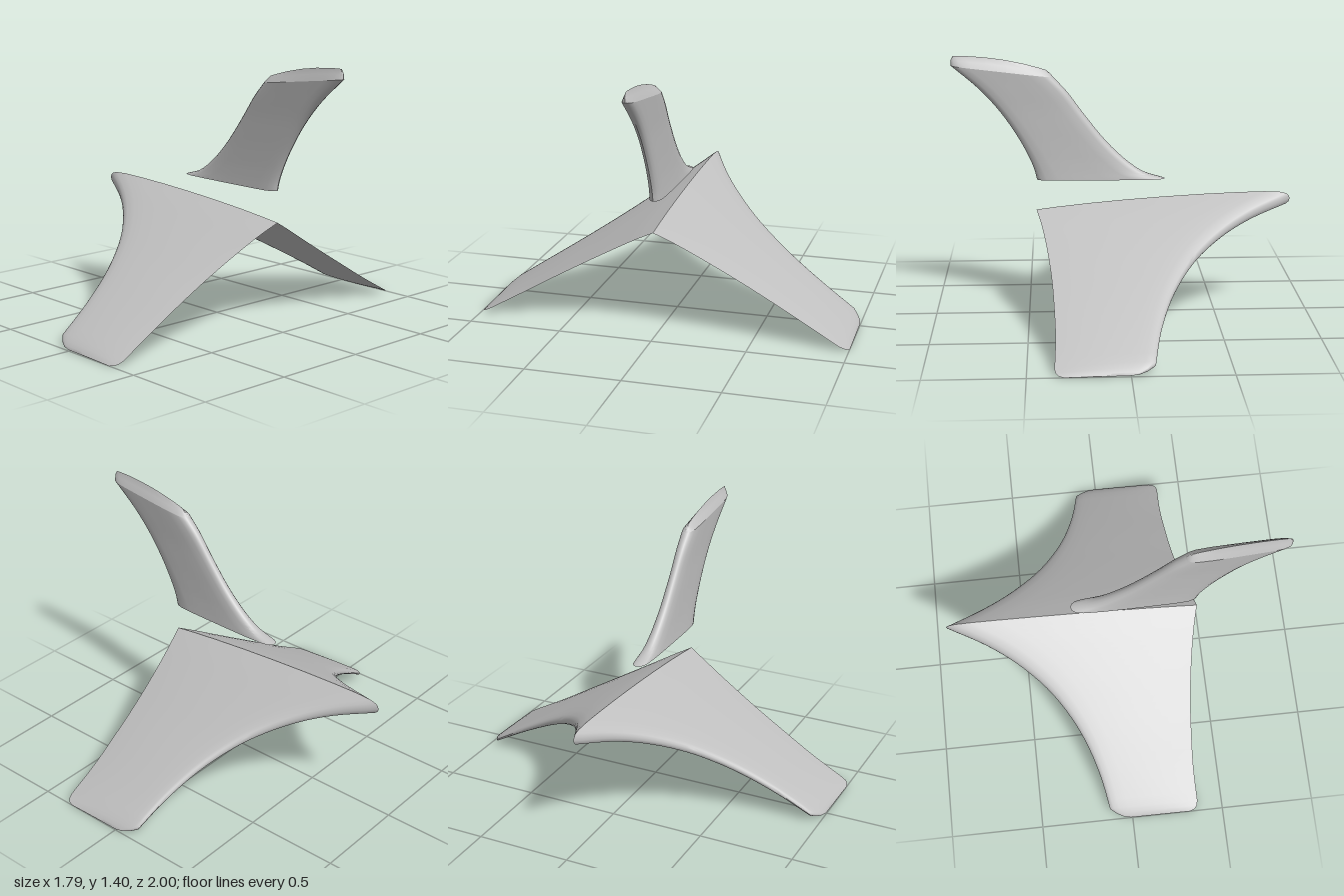
import * as THREE from 'three';
import { toCreasedNormals } from 'three/addons/utils/BufferGeometryUtils.js';

// Half profiles: [position along chord, relative half thickness]
const WING = [[0, 0], [0.004, 0.35], [0.015, 0.62], [0.04, 0.82], [0.1, 0.96], [0.2, 1],
  [0.35, 0.98], [0.5, 0.88], [0.65, 0.72], [0.8, 0.48], [0.92, 0.22], [1, 0]];
const FIN = [[0, 0], [0.01, 0.42], [0.04, 0.75], [0.1, 0.93], [0.25, 1], [0.45, 0.98],
  [0.65, 0.93], [0.82, 0.88], [0.92, 0.78], [0.97, 0.55], [0.99, 0.3], [1, 0]];

// Smoothly resample sections of { le, te, t, lift }
function resample(sections, n) {
  const le = new THREE.CatmullRomCurve3(sections.map(s => new THREE.Vector3(...s.le)));
  const te = new THREE.CatmullRomCurve3(sections.map(s => new THREE.Vector3(...s.te)));
  const th = new THREE.CatmullRomCurve3(sections.map(s => new THREE.Vector3(s.t, 0, 0)));
  return Array.from({ length: n + 1 }, (_, i) => ({
    le: le.getPoint(i / n).toArray(), te: te.getPoint(i / n).toArray(), t: th.getPoint(i / n).x,
  }));
}

// Skin a row of aerofoil sections and close both ends
function loft(sections, profile, normal, flip) {
  const last = profile.length - 1;
  const ring = [...profile.map(([u, t]) => [u, t]),
    ...profile.slice(1, last).reverse().map(([u, t]) => [u, -t])];
  const m = ring.length, pos = [], idx = [];
  const tri = (a, b, c) => (flip ? idx.push(a, c, b) : idx.push(a, b, c));
  for (const { le, te, t, lift = 0 } of sections) {
    for (const [u, h] of ring) {
      const p = new THREE.Vector3(...le).lerp(new THREE.Vector3(...te), u);
      p.addScaledVector(normal, h * t);
      p.y += lift * 4 * u * (1 - u);
      pos.push(p.x, p.y, p.z);
    }
  }
  for (let i = 0; i < sections.length - 1; i++) {
    for (let j = 0; j < m; j++) {
      const a = i * m + j, b = i * m + (j + 1) % m;
      tri(a, a + m, b);
      tri(b, a + m, b + m);
    }
  }
  const e = (sections.length - 1) * m;
  for (let j = 1; j < m - 1; j++) {
    tri(0, j, j + 1);
    tri(e, e + j + 1, e + j);
  }
  const g = new THREE.BufferGeometry();
  g.setAttribute('position', new THREE.Float32BufferAttribute(pos, 3));
  g.setIndex(idx);
  return toCreasedNormals(g, 0.6);
}

export function createModel() {
  const model = new THREE.Group();
  const grey = new THREE.MeshStandardMaterial({ color: 0xc0c0c0 });
  grey.name = 'light grey';
  const add = (name, geometry) => {
    const mesh = new THREE.Mesh(geometry, grey);
    mesh.name = name;
    model.add(mesh);
  };

  // Drooping tailplanes: [z, leading x, trailing x, leading y, trailing y, half thickness]
  const span = [
    [0, -0.9, 0.455, 0.622, 0.575, 0.046], [0.1, -0.7, 0.43, 0.565, 0.522, 0.041],
    [0.2, -0.548, 0.41, 0.505, 0.465, 0.037], [0.33, -0.402, 0.39, 0.425, 0.39, 0.033],
    [0.45, -0.307, 0.376, 0.352, 0.32, 0.029], [0.6, -0.222, 0.366, 0.26, 0.232, 0.026],
    [0.78, -0.157, 0.36, 0.15, 0.125, 0.022], [0.95, -0.12, 0.366, 0.044, 0.028, 0.018],
  ];
  const tip = [[0.975, -0.085, 0.36, 0.028, 0.016, 0.013], [0.992, -0.05, 0.345, 0.017, 0.008, 0.007],
    [1, -0.01, 0.32, 0.01, 0.003, 0.001]];
  for (const side of [1, -1]) {
    const toSection = ([z, lx, tx, ly, ty, t]) => ({ le: [lx, ly, z * side], te: [tx, ty, z * side], t });
    const sections = [...resample(span.map(toSection), 28), ...tip.map(toSection)];
    add(side > 0 ? 'leftTailplane' : 'rightTailplane',
      loft(sections, WING, new THREE.Vector3(0, 1, 0), side < 0));
  }

  // Swept upright fin: [leading x, leading y, trailing x, trailing y, half thickness]
  const fin = [
    [-0.23, 0.74, 0.45, 0.74, 0.043], [-0.12, 0.775, 0.462, 0.79, 0.039], [-0.03, 0.835, 0.49, 0.86, 0.035],
    [0.08, 0.94, 0.545, 0.965, 0.032], [0.2, 1.09, 0.635, 1.1, 0.031], [0.29, 1.212, 0.745, 1.225, 0.034],
    [0.36, 1.288, 0.89, 1.35, 0.037],
  ].map(([lx, ly, tx, ty, t]) => ({ le: [lx, ly, 0], te: [tx, ty, 0], t }));
  const out = new THREE.Vector3(0, 0, 1);
  add('uprightFin', loft(resample(fin, 24), FIN, out, true));

  // Bevelled cap rising to a ridge
  add('finTip', loft([
    fin[fin.length - 1],
    { le: [0.372, 1.304, 0], te: [0.89, 1.377, 0], t: 0.02, lift: 0.012 },
    { le: [0.395, 1.324, 0], te: [0.878, 1.4, 0], t: 0.001, lift: 0.02 },
  ], FIN, out, true));
  return model;
}
